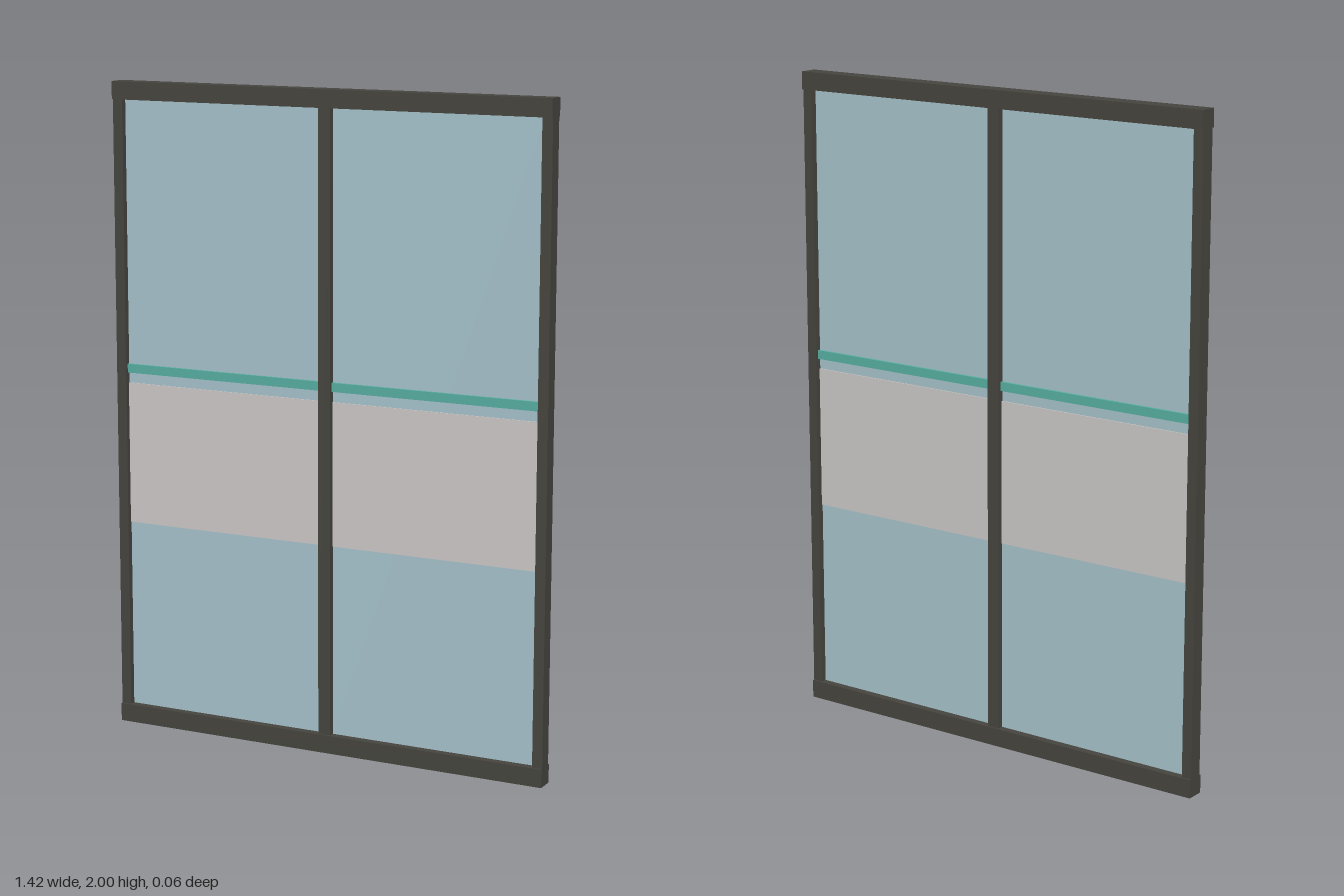
import * as THREE from 'three';

const mat = (name, color) => {
  const m = new THREE.MeshStandardMaterial({ color });
  m.name = name;
  return m;
};

export function createModel() {
  const group = new THREE.Group();
  group.name = 'glazedPartition';
  const frame = mat('darkFrame', 0x45443e);
  const glass = mat('paleBlueGlass', 0xa5c1ca);
  const frosted = mat('frostedGrey', 0xcac7c5);
  const teal = mat('tealStripe', 0x56ada0);

  // Box given by its x and y limits, centred on z = 0
  const slab = (name, material, x0, x1, y0, y1, depth) => {
    const mesh = new THREE.Mesh(new THREE.BoxGeometry(x1 - x0, y1 - y0, depth), material);
    mesh.position.set((x0 + x1) / 2, (y0 + y1) / 2, 0);
    mesh.name = name;
    group.add(mesh);
  };

  const W = 0.712, inner = 0.68, mull = 0.02, bottom = 0.056, top = 1.946;

  // Deeper rails across the full width
  slab('bottomRail', frame, -W, W, 0, bottom, 0.057);
  slab('topRail', frame, -W, W, top, 2, 0.057);

  // Slimmer uprights between the rails
  slab('rightPost', frame, -W, -inner, bottom, top, 0.045);
  slab('leftPost', frame, inner, W, bottom, top, 0.045);
  slab('centreMullion', frame, -mull, mull, bottom, top, 0.045);

  // Two bays, each with glass, a frosted band and a raised stripe
  for (const [side, x0, x1] of [['right', -inner, -mull], ['left', mull, inner]]) {
    slab(side + 'Glass', glass, x0, x1, bottom, top, 0.008);
    slab(side + 'FrostedBand', frosted, x0, x1, 0.641, 1.08, 0.015);
    slab(side + 'Stripe', teal, x0, x1, 1.112, 1.139, 0.026);
  }
  return group;
}
